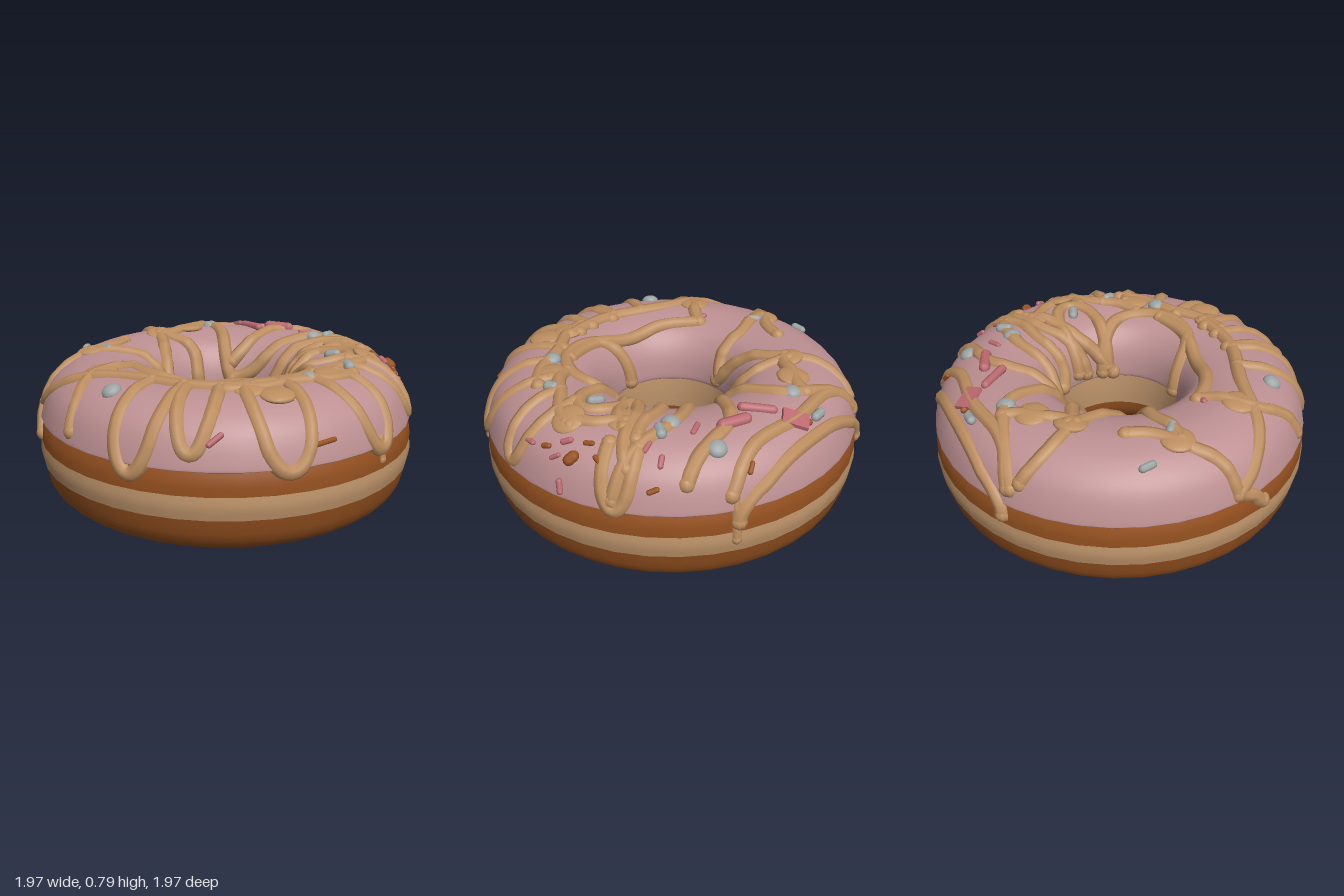
import * as THREE from 'three';

const material = (name, color, side = THREE.FrontSide) => {
  const m = new THREE.MeshStandardMaterial({ color, side });
  m.name = name;
  return m;
};

// Icing section: unrolled radius, radius and height, from the hole to the outer rim
const SECTION = [
  [0.10, 0.33, 0.36], [0.20, 0.325, 0.46], [0.30, 0.34, 0.57], [0.38, 0.385, 0.66],
  [0.46, 0.46, 0.722], [0.62, 0.62, 0.755], [0.75, 0.75, 0.742], [0.84, 0.84, 0.702],
  [0.91, 0.905, 0.645], [0.96, 0.945, 0.575], [1.04, 0.972, 0.49], [1.20, 0.99, 0.33],
];

// Wrap a point of the unrolled plane onto the icing
function onIcing(x, z) {
  const rho = Math.hypot(x, z);
  let i = 0;
  while (i < SECTION.length - 2 && rho > SECTION[i + 1][0]) i++;
  const [a, b] = [SECTION[i], SECTION[i + 1]];
  const t = THREE.MathUtils.clamp((rho - a[0]) / (b[0] - a[0]), 0, 1);
  const r = THREE.MathUtils.lerp(a[1], b[1], t);
  return new THREE.Vector3((x / rho) * r, THREE.MathUtils.lerp(a[2], b[2], t), (z / rho) * r);
}

// Smooth ring turned from a few profile points, outer side first
function ring(name, points, mat, divisions) {
  const curve = new THREE.SplineCurve(points.map(([r, y]) => new THREE.Vector2(r, y)));
  const mesh = new THREE.Mesh(new THREE.LatheGeometry(curve.getPoints(divisions), 40), mat);
  mesh.name = name;
  return mesh;
}

// Drizzle strands: start x, z, end x, z, sideways bow
const STRANDS = [
  [0.2, -0.95, 0.95, -0.24, 0.05], [0.15, -0.93, -0.15, -0.2, 0.04], [0.03, -0.62, 0.05, -0.2, -0.1],
  [0, -0.6, 0.36, -0.65, 0.06], [0.22, -0.95, 0.18, -0.16, -0.2], [0.2, -0.18, 0.95, 0.32, -0.06],
  [0.25, -0.24, 0.93, -0.03, -0.14], [0.25, 0, 0.74, 0.19, 0], [0.2, 0.14, 0.86, 0.24, 0.02],
  [0.1, 0.2, 0.66, 0.25, 0.06], [-0.83, -0.58, -0.25, -0.6, 0.08], [-0.5, -0.54, -0.16, -0.24, 0],
  [-0.83, -0.58, -0.3, 0.55, 0.1], [-0.83, -0.56, -1.01, -0.48, 0], [-0.99, -0.01, -0.48, -0.18, -0.08],
  [-0.48, -0.18, -0.05, 0.54, 0.15], [-0.42, 0.5, 0.25, 0.68, 0.06], [0.1, 0.55, 0.6, 0.5, 0.1],
  [0.62, 0.24, 0.58, 0.52, 0],
];

// Hanging loops: angle in degrees, half width, radius at the ends, radius at the turn
const LOOPS = [
  [113, 10, 0.6, 1.06], [81, 8, 0.65, 1.06], [55, 6, 0.65, 1.01], [157, 8, 0.62, 1.09], [140, 7, 0.6, 0.98],
  [18, 5, 0.8, 1.04], [-46, 30, 1.11, 0.9], [95, 42, 0.23, 0.56], [42, 16, 0.26, 0.66],
];

// Drips running down from the rim: x, z, stretch
const DRIPS = [[0.95, -0.26, 1.22], [0.16, 1, 1.1]];

// Puddles where strands merge: x, z
const PUDDLES = [[-0.33, 0.56], [-0.27, 0.68], [0.14, 0.62], [0.22, -0.6], [0.02, -0.6], [-0.67, -0.16],
  [-0.48, -0.54], [0.6, 0.24], [0.56, 0.5]];

function strandPoint([x0, z0, x1, z1, bow], t) {
  const side = bow * Math.sin(Math.PI * t) + 0.025 * Math.sin(Math.PI * 3 * t);
  const [dx, dz] = [x1 - x0, z1 - z0];
  return onIcing(x0 + dx * t - dz * side, z0 + dz * t + dx * side);
}

function loopPoint([angle, width, ends, turn], t) {
  const a = THREE.MathUtils.degToRad(angle - width * Math.cos(Math.PI * t));
  const rho = THREE.MathUtils.lerp(ends, turn, Math.sin(Math.PI * t));
  return onIcing(rho * Math.cos(a), rho * Math.sin(a));
}

function dripPoint([x, z, stretch], t) {
  const s = THREE.MathUtils.lerp(1, stretch, t);
  return onIcing(x * s, z * s);
}

// Round bead of icing along a wrapped path, half sunk, with rounded ends
function bead(name, pointAt, spec, mat, radius = 0.04) {
  const group = new THREE.Group();
  group.name = name;
  const points = Array.from({ length: 25 }, (_, i) => {
    const p = pointAt(spec, i / 24);
    return p.set(p.x * 0.982, p.y - 0.01, p.z * 0.982);
  });
  const curve = new THREE.CatmullRomCurve3(points);
  group.add(new THREE.Mesh(new THREE.TubeGeometry(curve, 48, radius, 8), mat));
  for (const end of [points[0], points[24]]) {
    const cap = new THREE.Mesh(new THREE.SphereGeometry(radius * 1.05, 10, 8), mat);
    cap.position.copy(end);
    group.add(cap);
  }
  return group;
}

// Lay a part on the icing with its y axis along the surface and z axis outward
function lay(mesh, x, z, turn, lift) {
  const d = 0.01;
  const p = onIcing(x, z);
  const tx = onIcing(x + d, z).sub(p);
  const tz = onIcing(x, z + d).sub(p);
  const normal = tz.clone().cross(tx).normalize();
  const along = tx.normalize().applyAxisAngle(normal, turn);
  const across = along.clone().cross(normal).normalize();
  mesh.quaternion.setFromRotationMatrix(new THREE.Matrix4().makeBasis(across, along, normal));
  mesh.position.copy(p).addScaledVector(normal, lift);
  return mesh;
}

// Sprinkle places on the icing
const SILVER = [[-0.4, -0.73], [-0.43, -0.48], [0.51, -0.67], [0.42, 0.38], [0.29, 0.6], [0.7, 0.08]];
const SILVER_DOTS = [[-0.78, 0.1], [0, 0.62], [0.37, -0.57], [0.63, 0.03], [0.79, -0.17]];
const PINK = [[0.83, 0.56], [0.68, 0.5], [-0.5, -0.18], [-0.64, 0.68], [0.78, 0.14],
  [0.6, 0.68], [0.85, 0.08], [0.68, -0.08], [0.72, 0.56]];
const CARAMEL = [[0.8, 0.36], [0.57, -0.61], [0.85, -0.32], [0.66, 0.6], [0.72, 0.4], [0.94, 0.12]];

export function createModel() {
  const model = new THREE.Group();
  model.name = 'doughnut';
  const crust = material('baked crust', 0x94501f);
  const pale = material('pale dough', 0xbd936a);
  const pinkIcing = material('pink icing', 0xbd9092, THREE.DoubleSide);
  const caramelIcing = material('caramel drizzle', 0xbd8e60);
  const silver = material('silver sprinkle', 0x9da4a4);
  const pink = material('pink sprinkle', 0xbd6a70);
  const caramel = material('caramel sprinkle', 0x9a5220);

  // Dough in bands of crust and pale crumb
  model.add(
    ring('lowerCrust', [[0.33, 0.26], [0.35, 0.18], [0.42, 0.09], [0.53, 0.03], [0.63, 0.008], [0.72, 0.015],
      [0.85, 0.055], [0.94, 0.13], [0.975, 0.25]], crust, 24),
    ring('paleBand', [[0.975, 0.25], [0.985, 0.31], [0.98, 0.365]], pale, 6),
    ring('upperCrust', [[0.98, 0.365], [0.975, 0.43], [0.95, 0.5]], crust, 6),
    ring('innerPaleBand', [[0.335, 0.46], [0.328, 0.36], [0.33, 0.26]], pale, 6),
  );

  // Icing shell with a rolled outer lip
  const shell = SECTION.slice(1, -1).reverse().map(([, r, y]) => [r, y]);
  model.add(ring('icing', [[0.95, 0.482], [0.968, 0.478], ...shell, [0.34, 0.44]], pinkIcing, 48));

  // Caramel drizzle
  STRANDS.forEach((s, i) => model.add(bead(`drizzleStrand${i + 1}`, strandPoint, s, caramelIcing)));
  LOOPS.forEach((s, i) => model.add(bead(`drizzleLoop${i + 1}`, loopPoint, s, caramelIcing)));
  DRIPS.forEach((s, i) => model.add(bead(`drip${i + 1}`, dripPoint, s, caramelIcing, 0.026)));

  // Flattened round blobs
  const blob = (name, mat, radius, height) => ([x, z]) => {
    const mesh = new THREE.Mesh(new THREE.SphereGeometry(radius, 16, 10), mat);
    mesh.name = name;
    mesh.scale.z = height / radius;
    model.add(lay(mesh, x, z, 0, 0));
  };
  PUDDLES.forEach(blob('drizzlePuddle', caramelIcing, 0.085, 0.025));
  SILVER_DOTS.forEach(blob('silverDot', silver, 0.048, 0.033));

  // Sprinkles, with sizes and turns from a small seeded sequence
  let seed = 7;
  const random = () => (seed = (seed * 16807) % 2147483647) / 2147483647;
  const sprinkle = (name, mat, radius, length) => ([x, z]) => {
    const r = radius * (0.8 + 0.4 * random());
    const geometry = new THREE.CapsuleGeometry(r, length * (0.6 + 0.8 * random()), 4, 8);
    const mesh = new THREE.Mesh(geometry, mat);
    mesh.name = name;
    model.add(lay(mesh, x, z, random() * Math.PI, r * 0.4));
  };
  SILVER.forEach(sprinkle('silverSprinkle', silver, 0.026, 0.035));
  PINK.forEach(sprinkle('pinkSprinkle', pink, 0.014, 0.05));
  CARAMEL.forEach(sprinkle('caramelSprinkle', caramel, 0.014, 0.035));

  // Larger pieces: two pink rods and a caramel nugget
  [[0.53, -0.38], [0.64, -0.26]].forEach(sprinkle('pinkRod', pink, 0.026, 0.11));
  [[0.76, 0.48]].forEach(sprinkle('caramelNugget', caramel, 0.028, 0.025));

  // Flat sugar flake and a thin sliver pressed into the front
  const flake = new THREE.Mesh(new THREE.BoxGeometry(0.09, 0.13, 0.02), pink);
  flake.name = 'sugarFlake';
  const sliver = new THREE.Mesh(new THREE.CapsuleGeometry(0.012, 0.1, 4, 8), caramel);
  sliver.name = 'caramelSliver';
  model.add(lay(flake, 0.58, -0.55, 1.4, 0.012), lay(sliver, -0.21, 0.94, -0.15, 0));
  return model;
}
